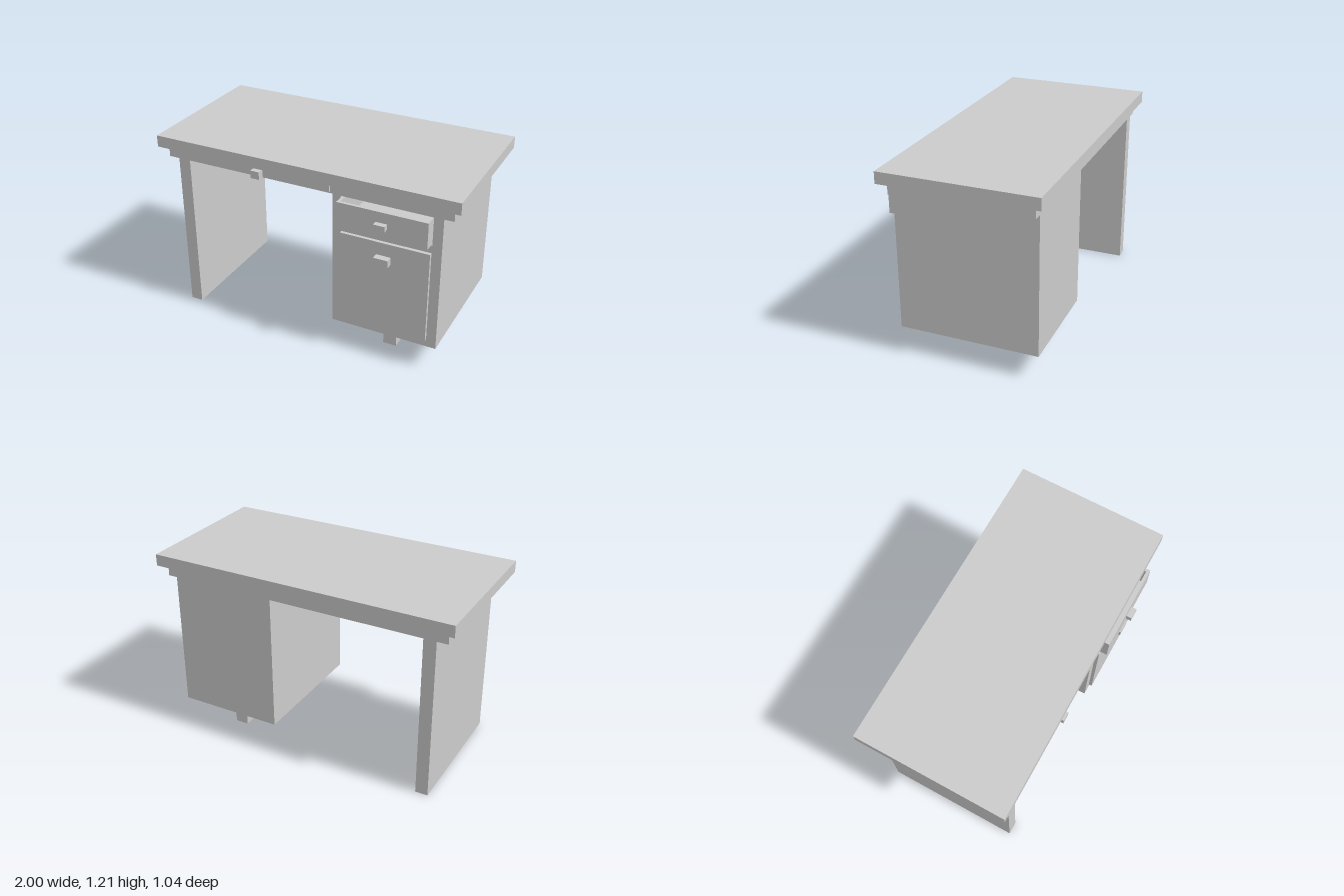
import * as THREE from 'three';

const material = new THREE.MeshStandardMaterial({ color: 0xcccccc, flatShading: true });

// Box given by its extents on each axis
function box(parent, name, [x0, x1], [y0, y1], [z0, z1]) {
  const mesh = new THREE.Mesh(new THREE.BoxGeometry(x1 - x0, y1 - y0, z1 - z0), material);
  mesh.position.set((x0 + x1) / 2, (y0 + y1) / 2, (z0 + z1) / 2);
  mesh.name = name;
  parent.add(mesh);
  return mesh;
}

function rectangle(PathType, [x0, x1], [y0, y1]) {
  return new PathType([[x0, y0], [x1, y0], [x1, y1], [x0, y1]].map(p => new THREE.Vector2(...p)));
}

export function createModel() {
  const desk = new THREE.Group();
  desk.name = 'desk';
  const front = 0.415, back = -0.47;

  // Top board, the frame under it and the side panel leg
  box(desk, 'tabletop', [-1, 1], [1.13, 1.205], [-0.518, 0.463]);
  box(desk, 'topFrame', [-0.95, 0.95], [1.055, 1.13], [back, front]);
  box(desk, 'sideLeg', [-0.88, -0.8], [0, 1.055], [back, front]);

  // Shallow pencil drawer set in the frame
  const pencil = new THREE.Group();
  pencil.name = 'pencilDrawer';
  box(pencil, 'pencilDrawerFront', [-0.78, 0.183], [1.067, 1.117], [front - 0.02, 0.43]);
  box(pencil, 'pencilDrawerHandle', [-0.32, -0.262], [1.067, 1.117], [0.43, 0.475]);
  desk.add(pencil);

  // Cabinet body with an opening for the drawer, closed by a back panel
  const cabinet = new THREE.Group();
  cabinet.name = 'cabinet';
  const cx = [0.2, 0.89], cy = [0.162, 1.055], panel = -0.44;
  const shape = rectangle(THREE.Shape, cx, cy);
  shape.holes.push(rectangle(THREE.Path, [0.252, 0.83], [0.872, 1.053]));
  const body = new THREE.Mesh(
    new THREE.ExtrudeGeometry(shape, { depth: front - panel, bevelEnabled: false }), material);
  body.position.z = panel;
  body.name = 'cabinetBody';
  cabinet.add(body);
  box(cabinet, 'cabinetBack', cx, cy, [back, panel]);
  box(cabinet, 'cabinetFoot', [0.5, 0.588], [0, cy[0]], [-0.345, 0.295]);
  desk.add(cabinet);

  // Open-topped drawer, pulled out a little
  const drawer = new THREE.Group();
  drawer.name = 'drawer';
  const dx = [0.257, 0.826], dy = [0.877, 1.048], dz = [-0.38, 0.485], t = 0.02;
  box(drawer, 'drawerFront', dx, dy, [dz[1] - t, dz[1]]);
  box(drawer, 'drawerBack', dx, dy, [dz[0], dz[0] + t]);
  box(drawer, 'drawerRightSide', [dx[0], dx[0] + t], dy, [dz[0] + t, dz[1] - t]);
  box(drawer, 'drawerLeftSide', [dx[1] - t, dx[1]], dy, [dz[0] + t, dz[1] - t]);
  box(drawer, 'drawerBottom', [dx[0] + t, dx[1] - t], [dy[0], dy[0] + t], [dz[0] + t, dz[1] - t]);
  box(drawer, 'drawerHandle', [0.507, 0.578], [0.944, 0.98], [dz[1], 0.52]);
  desk.add(drawer);

  // Cabinet door
  const door = new THREE.Group();
  door.name = 'door';
  box(door, 'doorPanel', [0.257, 0.828], [0.214, 0.82], [front, 0.437]);
  box(door, 'doorHandle', [0.495, 0.588], [0.687, 0.735], [0.437, 0.481]);
  desk.add(door);

  return desk;
}
